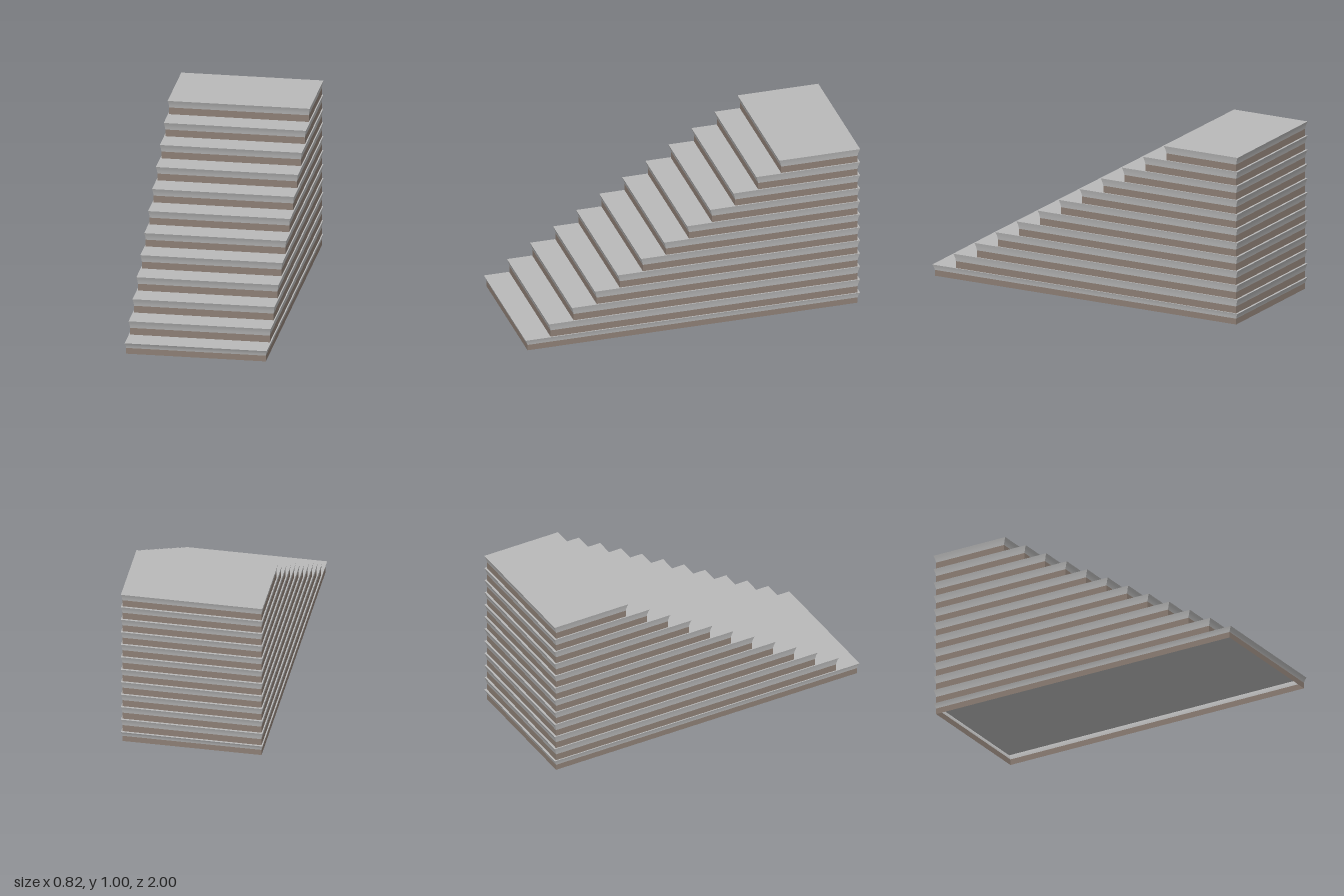
import * as THREE from 'three';
import { toCreasedNormals } from 'three/addons/utils/BufferGeometryUtils.js';

const STEPS = 12, HALF = 0.412, BACK = -1, LIP = 0.013;

// Walls through rectangular rings, each ring being [y, inset], optionally capped on top
function rings(front, levels, cap) {
  const pos = [], idx = [];
  for (const [y, inset] of levels) {
    const x = HALF - inset * 0.55, f = front - inset, b = BACK + inset;
    pos.push(-x, y, f, x, y, f, x, y, b, -x, y, b);
  }
  for (let r = 0; r < levels.length - 1; r++) {
    for (let i = 0; i < 4; i++) {
      const a = r * 4 + i, b = r * 4 + (i + 1) % 4;
      idx.push(a, b, b + 4, a, b + 4, a + 4);
    }
  }
  if (cap) {
    const t = (levels.length - 1) * 4;
    idx.push(t, t + 1, t + 2, t, t + 2, t + 3);
  }
  const geo = new THREE.BufferGeometry();
  geo.setAttribute('position', new THREE.Float32BufferAttribute(pos, 3));
  geo.setIndex(idx);
  return toCreasedNormals(geo, 0.6);
}

export function createModel() {
  const group = new THREE.Group();
  group.name = 'staircase';
  const stone = new THREE.MeshStandardMaterial({ color: 0xb8b8b8, side: THREE.DoubleSide });
  stone.name = 'light grey stone';
  const clay = new THREE.MeshStandardMaterial({ color: 0x8c7e74, side: THREE.DoubleSide });
  clay.name = 'warm brown stone';

  const add = (name, geo, mat) => {
    const mesh = new THREE.Mesh(geo, mat);
    mesh.name = name;
    group.add(mesh);
  };

  // Each step is a brown riser wall below a flared grey tread; the base stays open
  for (let i = 0; i < STEPS; i++) {
    const top = 0.067 + i * 0.933 / 11;
    const bottom = i ? top - 0.933 / 11 : 0;
    const front = 1 - i * 1.517 / 11;
    const lip = i ? 0.044 : 0.032;
    add(`riser${i + 1}`, rings(front, [[bottom, LIP], [top - lip, LIP]], false), clay);
    add(`tread${i + 1}`, rings(front, [
      [top - lip, LIP], [top - lip * 0.65, LIP * 0.78], [top - lip * 0.3, LIP * 0.42], [top, 0],
    ], true), stone);
  }
  return group;
}
